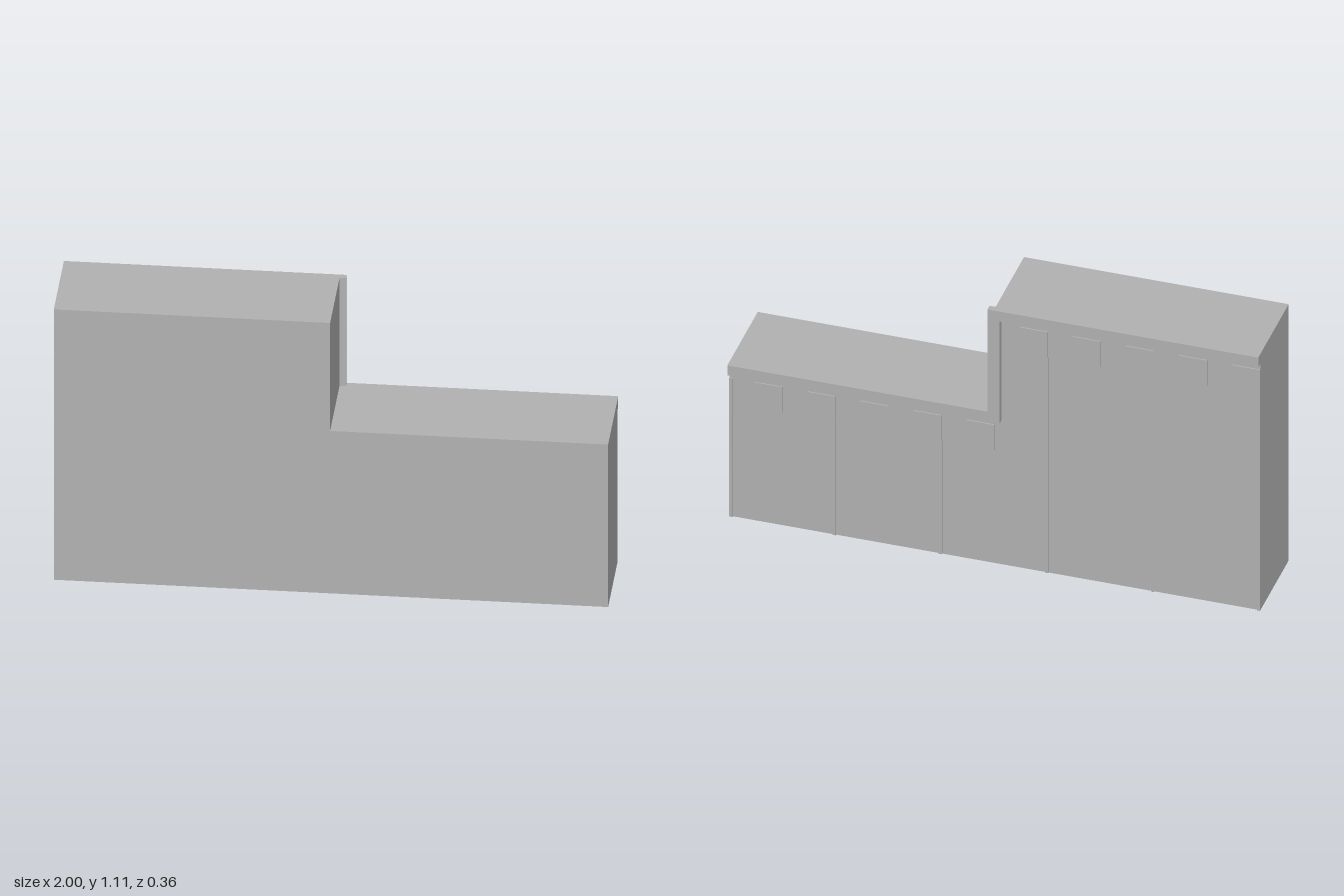
import * as THREE from 'three';

const BACK = -0.155;   // rear wall plane
const RAISED = 0.005;  // relief of battens and blocks
const LOW = 0.667, HIGH = 1.11, STEP = -0.003;

export function createModel() {
  const group = new THREE.Group();
  const grey = new THREE.MeshStandardMaterial({ color: 0xb2b2b2 });
  grey.name = 'plain grey';

  // Extrudes an outline in x/y between two depths
  function slab(name, points, z0, z1) {
    const shape = new THREE.Shape(points.map(([x, y]) => new THREE.Vector2(x, y)));
    const geo = new THREE.ExtrudeGeometry(shape, { depth: z1 - z0, bevelEnabled: false });
    geo.translate(0, 0, z0);
    const mesh = new THREE.Mesh(geo, grey);
    mesh.name = name;
    group.add(mesh);
  }

  // Thin raised plate on the rear wall
  function plate(name, x0, x1, y0, y1) {
    const geo = new THREE.BoxGeometry(x1 - x0, y1 - y0, RAISED);
    const mesh = new THREE.Mesh(geo, grey);
    mesh.position.set((x0 + x1) / 2, (y0 + y1) / 2, BACK - RAISED / 2);
    mesh.name = name;
    group.add(mesh);
  }

  // Stepped wall
  slab('wallBody', [[-1, 0], [1, 0], [1, LOW], [STEP, LOW], [STEP, HIGH], [-1, HIGH]], BACK, 0.18);

  // Coping trim following the stepped top edge at the rear
  slab('copingTrim', [
    [-1, HIGH - 0.043], [-0.025, HIGH - 0.043], [-0.025, LOW - 0.043], [1, LOW - 0.043],
    [1, LOW], [0.02, LOW], [0.02, HIGH], [-1, HIGH],
  ], -0.18, BACK);

  // Row of square blocks under the coping
  for (let i = 0; i < 10; i++) {
    const x = 0.8 - i * 0.2;
    const top = i < 5 ? 0.6 : 1.043;
    plate('squareBlock', x, x + 0.105, top - 0.11, top);
  }

  // Vertical battens, stopping beneath the blocks
  for (let i = 0; i < 6; i++) {
    const x = 1 - i * 0.4;
    const x0 = i === 0 ? 0.988 : i === 5 ? -1 : x - 0.002;
    const top = i === 0 ? 0.6 : i < 3 ? 0.49 : 0.933;
    plate('batten', x0, x0 + 0.012, 0, top);
  }

  return group;
}
